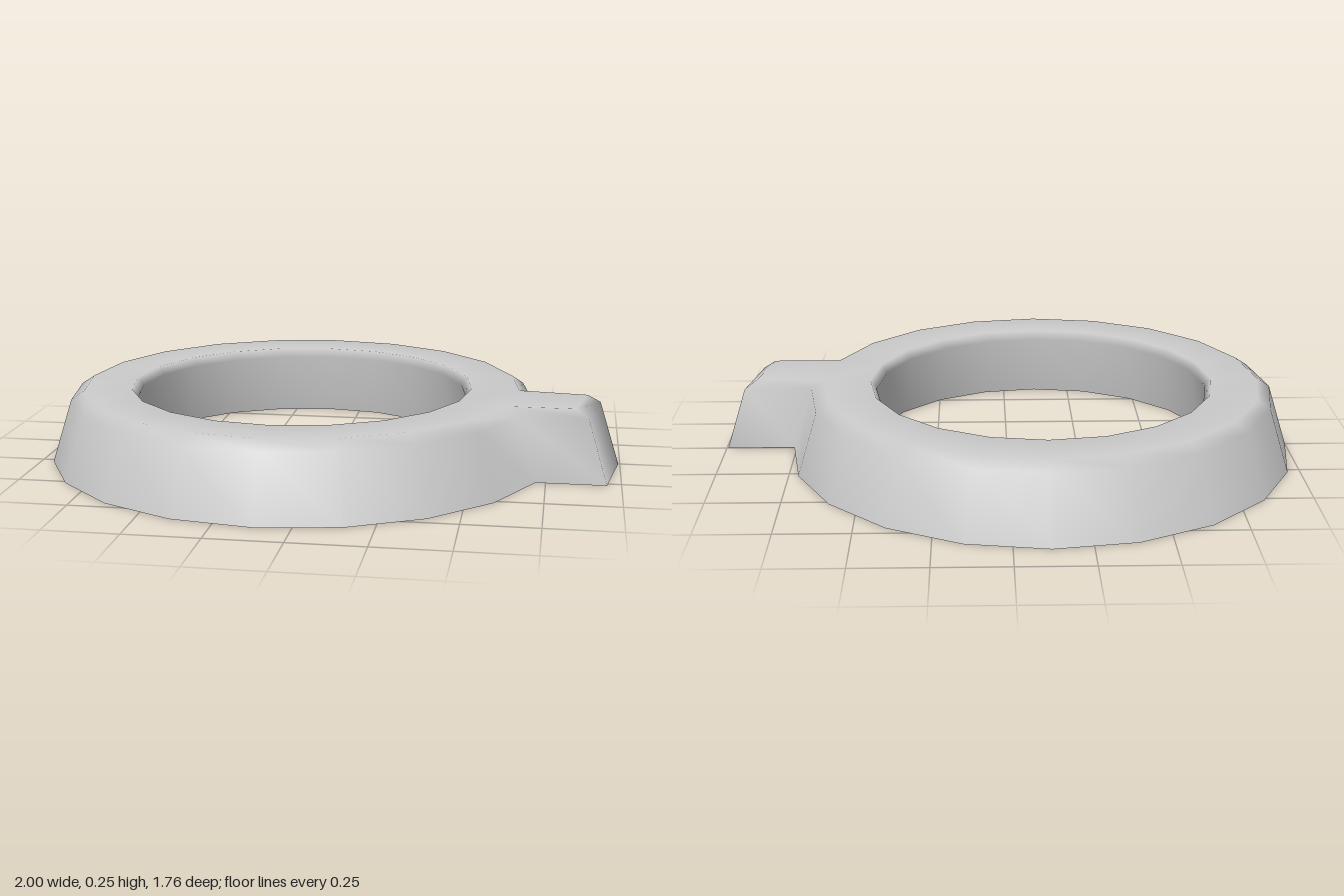
import * as THREE from 'three';

const SIDES = 20;
const CENTRE_X = -0.12;
// Shell profile [radius, y]: outer foot, outer bevel, top, inner bevel, inner foot
const PROFILE = [[0.88, 0], [0.81, 0.22], [0.765, 0.25], [0.6, 0.25], [0.58, 0.22], [0.623, 0]];
const TAB_LENGTH = 0.235;

export function createModel() {
  const group = new THREE.Group();
  group.name = 'ringWithTab';
  const positions = [];
  const index = [];
  const quad = (a, b, c, d) => index.push(a, b, c, a, c, d);
  const n = PROFILE.length;
  const ring = (j, i) => (j % SIDES) * n + i;

  // Ring vertices, one profile per side
  for (let j = 0; j < SIDES; j++) {
    const a = (j / SIDES) * Math.PI * 2;
    for (const [r, y] of PROFILE) positions.push(CENTRE_X + r * Math.cos(a), y, r * Math.sin(a));
  }
  // Ring shell, open underneath; the outer wall is left out where the tab grows
  for (let j = 0; j < SIDES; j++) {
    for (let i = 0; i < n - 1; i++) {
      if (j === 0 && i < 2) continue;
      quad(ring(j, i), ring(j, i + 1), ring(j + 1, i + 1), ring(j + 1, i));
    }
  }

  // Tab: the missing wall panel pushed outward along x
  const endStart = positions.length / 3;
  const end = (j, i) => endStart + j * 3 + i;
  for (let j = 0; j < 2; j++) {
    for (let i = 0; i < 3; i++) {
      const k = ring(j, i) * 3;
      const bevel = j === 0 && i === 2 ? 0.03 : 0;
      positions.push(positions[k] + TAB_LENGTH, positions[k + 1], positions[k + 2] + bevel);
    }
  }
  for (let i = 0; i < 2; i++) {
    quad(end(0, i), end(0, i + 1), end(1, i + 1), end(1, i)); // end wall
    quad(ring(0, i), ring(0, i + 1), end(0, i + 1), end(0, i)); // back wall
    quad(end(1, i), end(1, i + 1), ring(1, i + 1), ring(1, i)); // front wall
  }
  quad(end(0, 2), ring(0, 2), ring(1, 2), end(1, 2)); // top

  const geometry = new THREE.BufferGeometry();
  geometry.setAttribute('position', new THREE.Float32BufferAttribute(positions, 3));
  geometry.setIndex(index);
  geometry.computeVertexNormals();

  const shell = new THREE.Mesh(
    geometry,
    new THREE.MeshStandardMaterial({ color: 0xcccccc, side: THREE.DoubleSide })
  );
  shell.name = 'ringShell';
  group.add(shell);
  return group;
}
